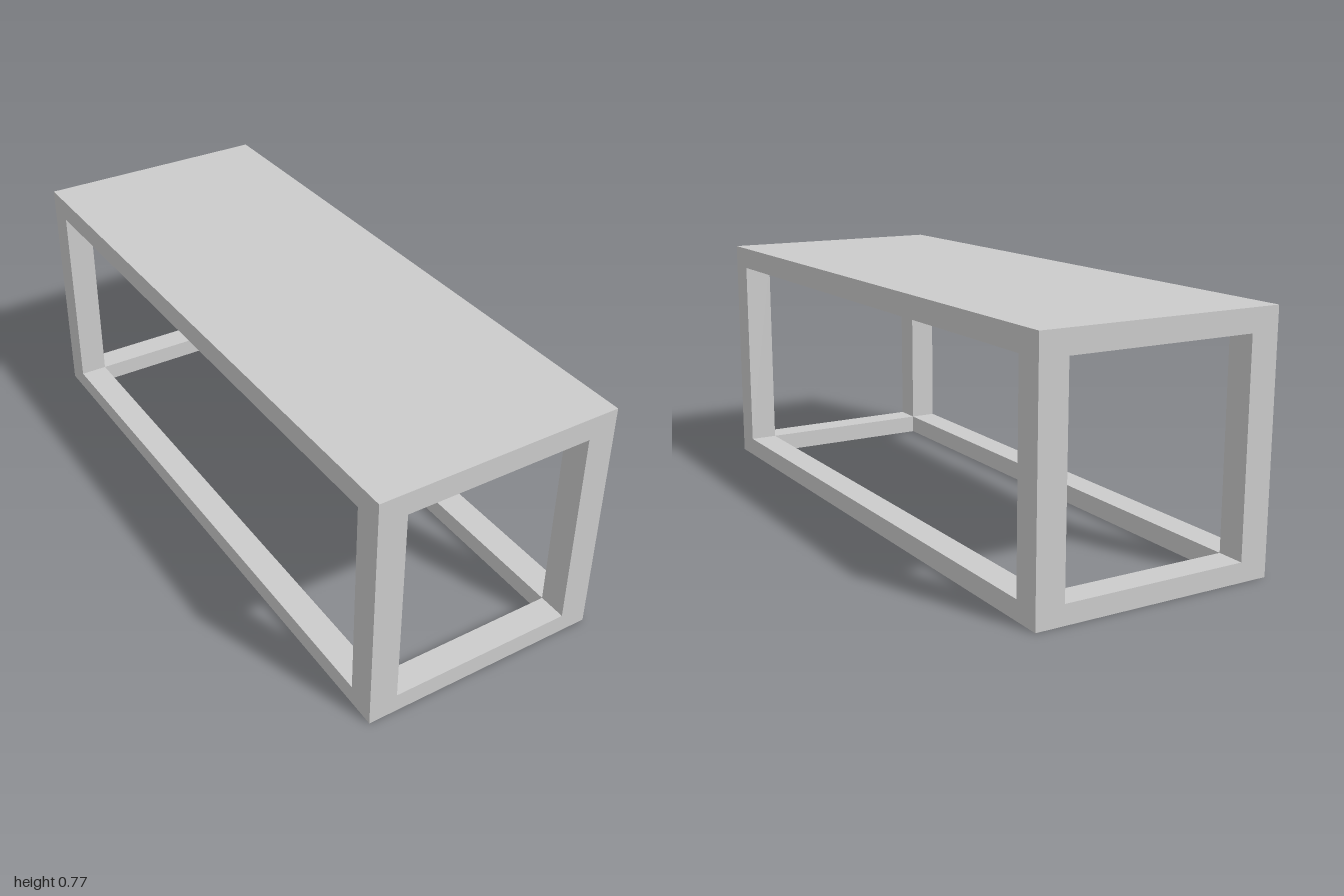
import * as THREE from 'three';

const WIDTH = 0.766, LENGTH = 2, HEIGHT = 0.77;
const POST = 0.089, TOP = 0.07, RAIL = 0.06;

export function createModel() {
  const group = new THREE.Group();
  const material = new THREE.MeshStandardMaterial({ color: 0xcccccc, flatShading: true });

  const add = (name, geometry, x, y, z) => {
    const mesh = new THREE.Mesh(geometry, material);
    mesh.name = name;
    mesh.position.set(x, y, z);
    group.add(mesh);
  };

  // Solid table top
  add('tableTop', new THREE.BoxGeometry(WIDTH, TOP, LENGTH), 0, HEIGHT - TOP / 2, 0);

  // Four square legs between the base frame and the top
  const legHeight = HEIGHT - TOP - RAIL;
  const legGeometry = new THREE.BoxGeometry(POST, legHeight, POST);
  for (const [end, sz] of [['front', 1], ['back', -1]]) {
    for (const [side, sx] of [['Left', 1], ['Right', -1]]) {
      add(`${end}${side}Leg`, legGeometry,
        sx * (WIDTH - POST) / 2, RAIL + legHeight / 2, sz * (LENGTH - POST) / 2);
    }
  }

  // Base frame: a rectangular ring lying on the floor
  const rectangle = (Type, w, l) => new Type([
    new THREE.Vector2(-w / 2, -l / 2), new THREE.Vector2(w / 2, -l / 2),
    new THREE.Vector2(w / 2, l / 2), new THREE.Vector2(-w / 2, l / 2),
  ]);
  const ring = rectangle(THREE.Shape, WIDTH, LENGTH);
  ring.holes.push(rectangle(THREE.Path, WIDTH - 2 * POST, LENGTH - 2 * POST));
  const frameGeometry = new THREE.ExtrudeGeometry(ring, { depth: RAIL, bevelEnabled: false });
  frameGeometry.rotateX(-Math.PI / 2);
  add('baseFrame', frameGeometry, 0, 0, 0);

  return group;
}
